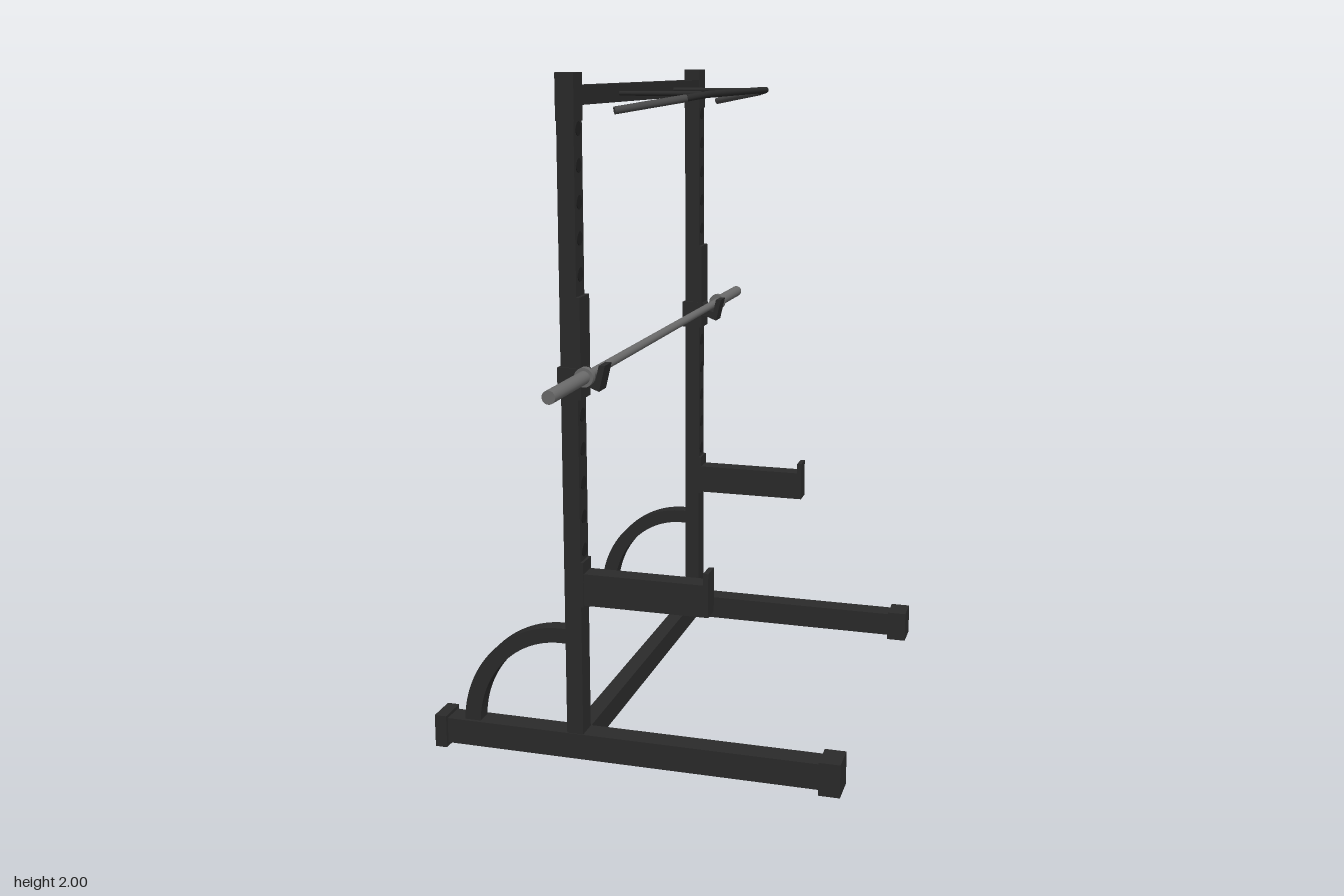
import * as THREE from 'three';

const mat = (name, color) => Object.assign(new THREE.MeshStandardMaterial({ color }), { name });

export function createModel() {
  const frame = mat('frame black', 0x2a2a2a);
  const holeMat = mat('hole black', 0x1f1f1f);
  const grip = mat('grip grey', 0x484848);
  const steel = mat('bar steel', 0x6a6a6a);
  const V = (x, y, z) => new THREE.Vector3(x, y, z);
  const model = new THREE.Group();
  model.name = 'squatRack';

  const add = (parent, name, geo, material) => {
    const m = new THREE.Mesh(geo, material);
    m.name = name;
    parent.add(m);
    return m;
  };
  // Box given by its minimum and maximum corners
  const box = (parent, name, [x0, y0, z0], [x1, y1, z1], material = frame) => {
    const m = add(parent, name, new THREE.BoxGeometry(x1 - x0, y1 - y0, z1 - z0), material);
    m.position.set((x0 + x1) / 2, (y0 + y1) / 2, (z0 + z1) / 2);
    return m;
  };
  // Round bar between two points
  const rod = (parent, name, a, b, r, material) => {
    const m = add(parent, name, new THREE.CylinderGeometry(r, r, a.distanceTo(b), 20), material);
    m.position.copy(a).lerp(b, 0.5);
    m.quaternion.setFromUnitVectors(V(0, 1, 0), b.clone().sub(a).normalize());
    return m;
  };
  // Side profile extruded symmetrically across z
  const slab = (parent, name, shape, depth) => {
    const geo = new THREE.ExtrudeGeometry(shape, { depth, bevelEnabled: false, curveSegments: 20 });
    return add(parent, name, geo.translate(0, 0, -depth / 2), frame);
  };

  // Curved brace profile
  const brace = new THREE.Shape();
  brace.moveTo(-0.18, 0.41);
  brace.lineTo(-0.22, 0.41);
  brace.absellipse(-0.22, 0.08, 0.31, 0.33, Math.PI / 2, Math.PI, false, 0);
  brace.lineTo(-0.48, 0.08);
  brace.absellipse(-0.22, 0.08, 0.26, 0.285, Math.PI, Math.PI / 2, true, 0);
  brace.lineTo(-0.18, 0.365);

  // Cradle profile that holds the bar
  const cradle = new THREE.Shape([
    [-0.145, 1.14], [-0.125, 1.14], [-0.088, 1.125], [-0.07, 1.2],
    [-0.088, 1.2], [-0.098, 1.155], [-0.122, 1.163], [-0.145, 1.2],
  ].map(([x, y]) => new THREE.Vector2(x, y)));

  for (const [side, z] of [['near', 0.62], ['far', -0.632]]) {
    const g = new THREE.Group();
    g.name = side + 'SideFrame';
    g.position.z = z;
    model.add(g);

    // Foot with end caps, upright and brace
    box(g, 'foot', [-0.6, 0.012, -0.036], [0.6, 0.09, 0.036]);
    box(g, 'rearFootCap', [-0.62, 0, -0.047], [-0.583, 0.1, 0.047]);
    box(g, 'frontFootCap', [0.557, 0, -0.047], [0.62, 0.1, 0.047]);
    box(g, 'upright', [-0.2, 0.08, -0.033], [-0.15, 1.99, 0.033]);
    box(g, 'uprightCap', [-0.202, 1.87, -0.035], [-0.148, 2, 0.035]);
    slab(g, 'curvedBrace', brace, 0.05);

    // Adjustment holes
    for (let i = 0; i < 13; i++) {
      const hole = add(g, 'adjustmentHole', new THREE.CylinderGeometry(0.02, 0.02, 0.003, 20), holeMat);
      hole.rotation.z = Math.PI / 2;
      hole.position.set(-0.1495, 0.65 + i * 0.1, 0);
    }

    // Safety arm
    box(g, 'safetyArm', [-0.15, 0.49, -0.03], [0.23, 0.585, 0.03]);
    box(g, 'safetyArmLip', [0.215, 0.58, -0.03], [0.23, 0.62, 0.03]);
    box(g, 'safetyArmPlate', [-0.152, 0.485, -0.034], [-0.142, 0.62, 0.034]);

    // Bar holder
    box(g, 'holderSleeve', [-0.208, 1.1, -0.04], [-0.142, 1.19, 0.04]);
    box(g, 'holderPlate', [-0.152, 1.1, -0.04], [-0.138, 1.39, 0.04]);
    slab(g, 'barCradle', cradle, 0.06);
  }

  // Cross beams
  box(model, 'baseCrossBeam', [-0.2, 0.018, -0.61], [-0.15, 0.088, 0.6]);
  box(model, 'topCrossBeam', [-0.2, 1.912, -0.61], [-0.15, 1.965, 0.6]);

  // Barbell
  const at = (z) => V(-0.11, 1.177, z);
  rod(model, 'barShaft', at(-0.71), at(0.71), 0.013, steel);
  for (const s of [1, -1]) {
    rod(model, 'barSleeve', at(s * 0.7), at(s * 0.98), 0.019, steel);
    rod(model, 'barCollar', at(s * 0.694), at(s * 0.714), 0.028, steel);
  }

  // Pull-up bar with angled grips
  const mid = -0.018;
  const bar = new THREE.CurvePath();
  const p = (x, y, s, dz) => V(x, y, mid + s * dz);
  const bend = (s) => [p(0.1, 1.928, s, 0.434), p(0.14, 1.937, s, 0.4), p(0.14, 1.937, s, 0.335)];
  const [a0, a1, a2] = bend(1);
  const [b0, b1, b2] = bend(-1);
  bar.add(new THREE.QuadraticBezierCurve3(a0, a1, a2));
  bar.add(new THREE.LineCurve3(a2, b2));
  bar.add(new THREE.QuadraticBezierCurve3(b2, b1, b0));
  add(model, 'pullUpBar', new THREE.TubeGeometry(bar, 80, 0.01, 14), frame);
  for (const s of [1, -1]) {
    rod(model, 'pullUpGrip', p(-0.075, 1.896, s, 0.547), bend(s)[0], 0.011, grip);
    rod(model, 'pullUpStrut', p(-0.16, 1.937, s, 0.277), p(0.14, 1.937, s, 0.277), 0.007, frame);
  }
  return model;
}
